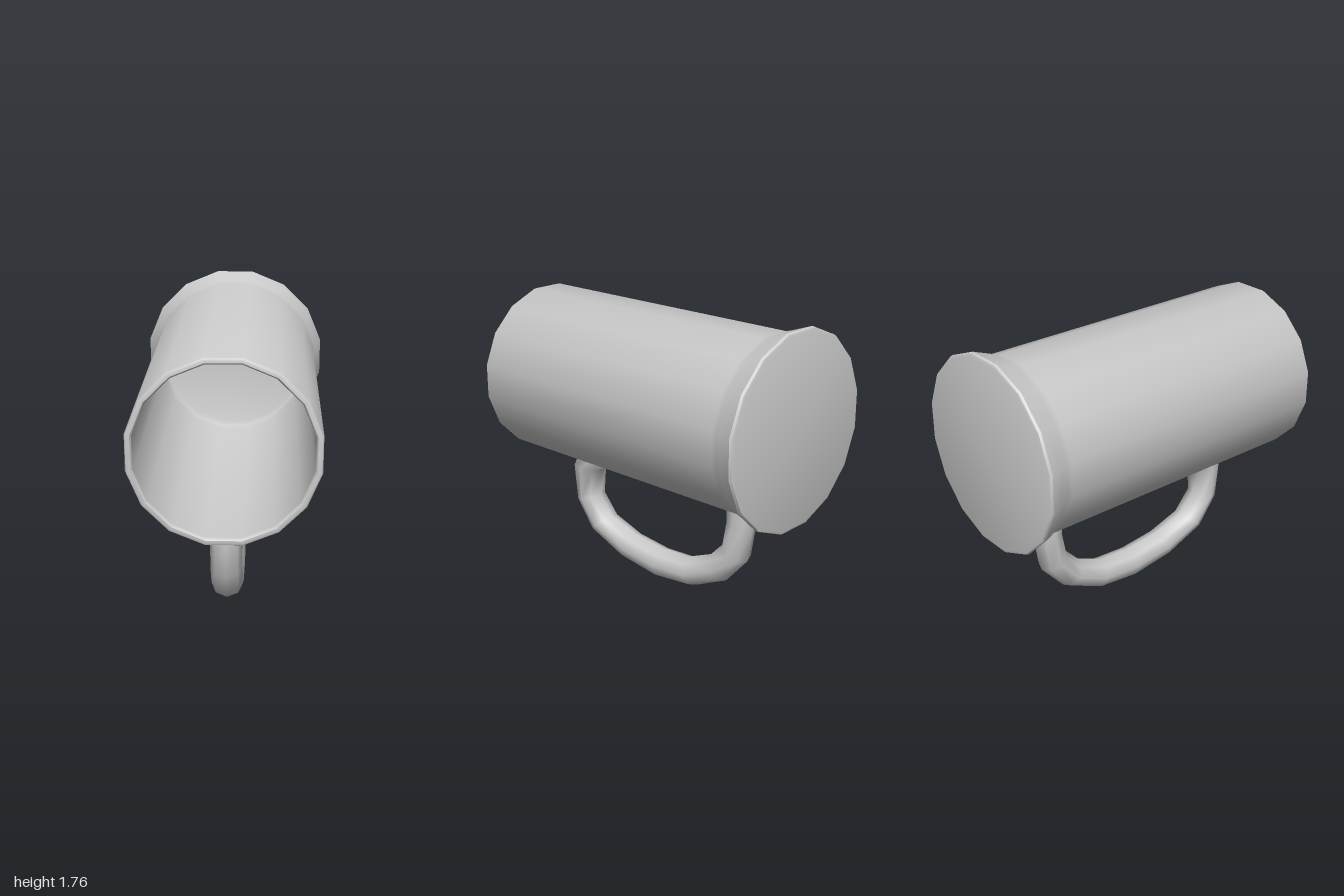
import * as THREE from 'three';
import { toCreasedNormals } from 'three/addons/utils/BufferGeometryUtils.js';

const SIDES = 16;
const AXIS_Y = 1.19;

// Hollow cup: closed profile of [flat-to-axis radius, z], turned around z
function cupGeometry() {
  const k = 1 / Math.cos(Math.PI / SIDES);
  const profile = [
    [0, -1], [0.55, -1], [0.565, -0.995], [0.57, -0.98],             // base
    [0.545, -0.91], [0.525, -0.855], [0.515, -0.82],                 // flared foot
    [0.515, 0.985], [0.51, 0.995], [0.5, 1], [0.485, 1], [0.477, 0.99], // wall and lip
    [0.475, 0.97], [0.475, -0.84], [0.46, -0.87], [0.43, -0.88], [0, -0.88], // inside
  ].map(([r, z]) => new THREE.Vector2(r * k, z));
  const geo = new THREE.LatheGeometry(profile, SIDES, Math.PI / SIDES);
  geo.rotateX(Math.PI / 2);
  return toCreasedNormals(geo, Math.PI / 5);
}

// Handle: eight-sided rings spanning from an outer to an inner point
function handleGeometry() {
  const sides = 8, halfWidth = 0.092;
  // outer z, outer y, inner z, inner y
  const stations = [
    [0.715, 0.69, 0.29, 0.69],
    [0.74, 0.58, 0.515, 0.58],
    [0.705, 0.345, 0.54, 0.4],
    [0.57, 0.16, 0.435, 0.28],
    [0.3, 0.045, 0.23, 0.215],
    [0, 0, -0.0, 0.19],
    [-0.285, 0.03, -0.22, 0.2],
    [-0.52, 0.14, -0.4, 0.275],
    [-0.675, 0.315, -0.51, 0.39],
    [-0.715, 0.56, -0.54, 0.55],
    [-0.72, 0.69, -0.54, 0.69],
  ];
  const pos = [], index = [];
  stations.forEach(([oz, oy, iz, iy], s) => {
    for (let j = 0; j < sides; j++) {
      const a = (j / sides) * Math.PI * 2, c = Math.cos(a) / 2;
      pos.push(halfWidth * Math.sin(a), (oy + iy) / 2 + (oy - iy) * c, (oz + iz) / 2 + (oz - iz) * c);
      if (s === stations.length - 1) continue;
      const p = s * sides + j, q = s * sides + ((j + 1) % sides);
      index.push(p, p + sides, q, q, p + sides, q + sides);
    }
  });
  const geo = new THREE.BufferGeometry();
  geo.setAttribute('position', new THREE.Float32BufferAttribute(pos, 3));
  geo.setIndex(index);
  geo.computeVertexNormals();
  return geo;
}

export function createModel() {
  const group = new THREE.Group();
  group.name = 'mug';
  const material = new THREE.MeshStandardMaterial({ color: 0xcccccc });

  const cup = new THREE.Mesh(cupGeometry(), material);
  cup.name = 'cup';
  cup.position.y = AXIS_Y;

  const handle = new THREE.Mesh(handleGeometry(), material);
  handle.name = 'handle';

  group.add(cup, handle);
  return group;
}
